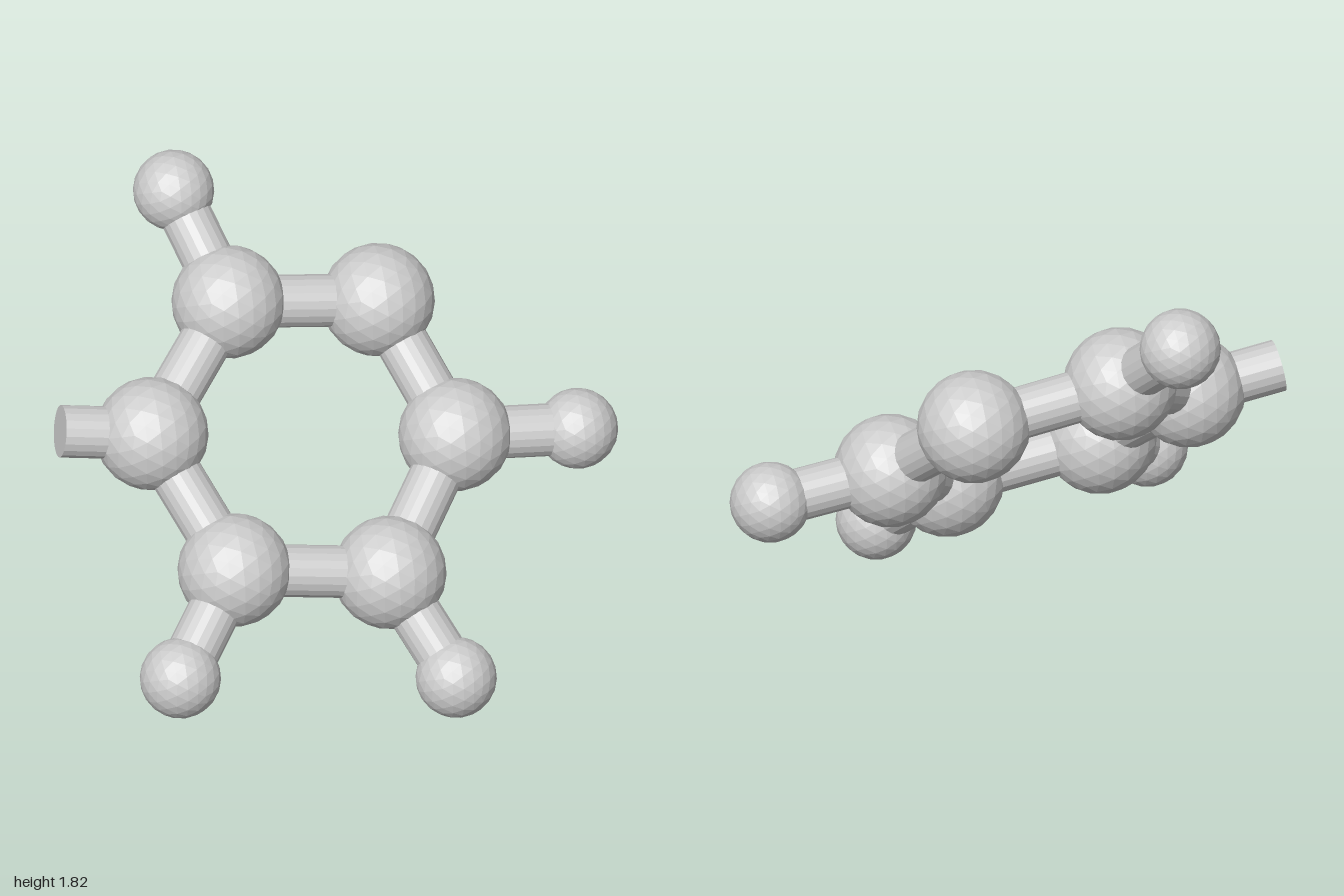
import * as THREE from 'three';

const ATOM_R = 0.227, TIP_R = 0.162, BOND_R = 0.105;

export function createModel() {
  const model = new THREE.Group();
  const material = new THREE.MeshStandardMaterial({ color: 0xcccccc, flatShading: true });
  const v = (p) => new THREE.Vector3(...p);

  const add = (name, geometry) => {
    const mesh = new THREE.Mesh(geometry, material);
    mesh.name = name;
    model.add(mesh);
    return mesh;
  };

  // faceted ball
  const ball = (name, p, radius) =>
    add(name, new THREE.IcosahedronGeometry(radius, 3)).position.copy(v(p));

  // straight rod between two points
  const rod = (name, p, q) => {
    const a = v(p), b = v(q), dir = b.clone().sub(a);
    const mesh = add(name, new THREE.CylinderGeometry(BOND_R, BOND_R, dir.length(), 20));
    mesh.position.copy(a).add(b).multiplyScalar(0.5);
    mesh.quaternion.setFromUnitVectors(new THREE.Vector3(0, 1, 0), dir.normalize());
  };

  // six-membered ring, in order around the loop
  const ring = [
    [-0.5, 1.325, -0.385],
    [0.01, 1.235, -0.72],
    [0.42, 0.83, -0.495],
    [0.337, 0.49, 0.033],
    [-0.2, 0.59, 0.36],
    [-0.63, 1.005, 0.145],
  ];
  ring.forEach((p, i) => {
    ball('ringAtom' + (i + 1), p, ATOM_R);
    rod('ringBond' + (i + 1), p, ring[(i + 1) % ring.length]);
  });

  // small outer atoms, each joined to a ring atom
  const tips = [
    [0, [-0.807, 1.658, -0.588]],
    [2, [0.836, 0.775, -0.773]],
    [3, [0.675, 0.163, 0.185]],
    [4, [-0.277, 0.32, 0.772]],
  ];
  tips.forEach(([i, p], n) => {
    ball('outerAtom' + (n + 1), p, TIP_R);
    rod('outerBond' + (n + 1), ring[i], p);
  });

  // free bond with a flat cut end
  rod('openBond', ring[5], [-0.947, 1.066, 0.335]);

  return model;
}
